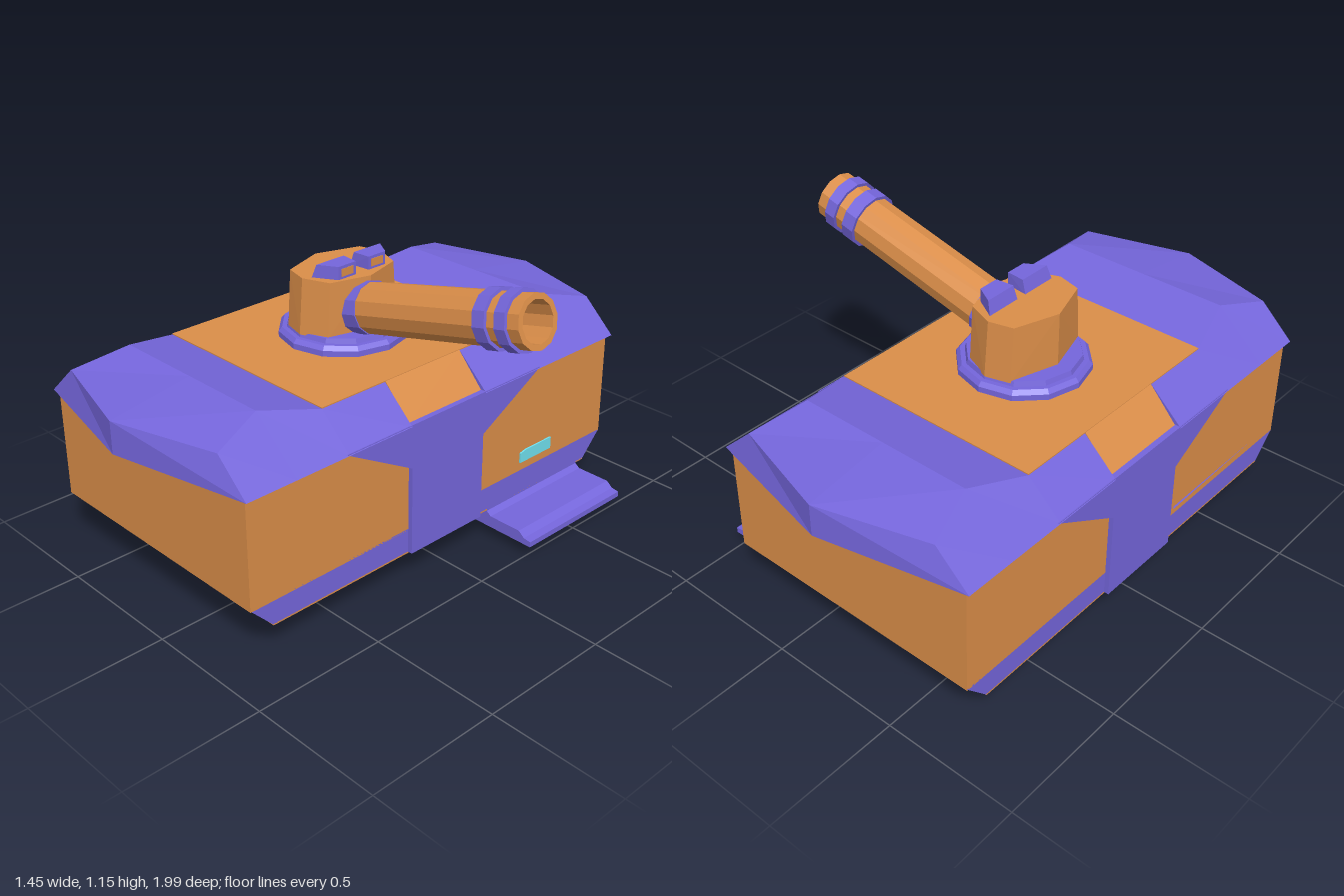
import * as THREE from 'three';
import { ConvexGeometry } from 'three/addons/geometries/ConvexGeometry.js';

const paint = (color) => new THREE.MeshStandardMaterial({ color, flatShading: true });
const orange = paint(0xdb8e49), purple = paint(0x7566dc), cyan = paint(0x70e0ee);

function add(parent, name, geometry, material, x = 0, y = 0, z = 0) {
  const mesh = new THREE.Mesh(geometry, material);
  mesh.name = name;
  mesh.position.set(x, y, z);
  parent.add(mesh);
  return mesh;
}
const vectors = (pts) => pts.map(([x, y]) => new THREE.Vector2(x, y));

// Outline in (x, y), extruded from z0 to z1
function extrudeZ(pts, z0, z1, hole) {
  const shape = new THREE.Shape(vectors(pts));
  if (hole) shape.holes.push(new THREE.Path(vectors(hole)));
  return new THREE.ExtrudeGeometry(shape, { depth: z1 - z0, bevelEnabled: false }).translate(0, 0, z0);
}
// Outline in (z, y), extruded from x0 to x1
function extrudeX(pts, x0, x1, hole) {
  const flip = (list) => list && list.map(([z, y]) => [-z, y]);
  return extrudeZ(flip(pts), x0, x1, flip(hole)).rotateY(Math.PI / 2);
}
const lathe = (pts, sides) => new THREE.LatheGeometry(vectors(pts), sides);

// Roof shell lofted from sections: [z, half base, half top, top height, z of centre line]
function roofGeometry() {
  const end = [[0.18, 0.53, 0.4, 0.73], [0.46, 0.53, 0.4, 0.73], [0.68, 0.53, 0.34, 0.78],
    [0.88, 0.53, 0.4, 0.73, 0.995], [0.995, 0, 0, 0.73]];
  const mid = [0.18, 0.5, 0.39, 0.725];
  const half = [mid, ...end];
  const back = half.map(([z, b, w, h, c]) => [-z, b, w, h, c === undefined ? undefined : -c]).reverse();
  const rings = [...back, ...half].map(([z, b, w, h, c = z]) => [
    [b, 0.61, z], [w, h, z], [0, h, c], [-w, h, z], [-b, 0.61, z], [0, 0.61, c]]);
  const pos = [];
  for (let s = 0; s < rings.length - 1; s++) {
    const A = rings[s], B = rings[s + 1];
    for (let i = 0; i < 6; i++) {
      const j = (i + 1) % 6;
      pos.push(...A[i], ...A[j], ...B[j], ...A[i], ...B[j], ...B[i]);
    }
  }
  const g = new THREE.BufferGeometry();
  g.setAttribute('position', new THREE.Float32BufferAttribute(pos, 3));
  g.computeVertexNormals();
  return g;
}

function buildHull(hull) {
  add(hull, 'hullCore', new THREE.BoxGeometry(0.98, 0.41, 1.74), orange, 0, 0.405, 0);
  add(hull, 'lowerTrim', extrudeX([[0.87, 0.205], [0.78, 0.11], [-0.78, 0.11], [-0.87, 0.205]], -0.51, 0.51), purple);
  add(hull, 'floor', new THREE.BoxGeometry(1.02, 0.006, 1.56), orange, 0, 0.11, 0);
  add(hull, 'roof', roofGeometry(), purple);
  add(hull, 'roofPlate', new THREE.BoxGeometry(0.8, 0.02, 0.92), orange, 0, 0.724, 0);

  const frontPanel = [[0.87, 0.2], [0.87, 0.61], [0.46, 0.61], [0.175, 0.45], [0.175, 0.2]];
  const rearPanel = frontPanel.map(([z, y]) => [-z, y]);
  const recess = [[0.83, 0.24], [0.83, 0.56], [0.47, 0.56], [0.22, 0.42], [0.22, 0.225]];
  const pillar = [[0.175, 0.112], [0.175, 0.45], [0.47, 0.615], [-0.47, 0.615], [-0.175, 0.45], [-0.175, 0.112]];
  for (const s of [-1, 1]) {
    const span = (a, b) => (s > 0 ? [a, b] : [-b, -a]);
    const [p0, p1] = span(0.48, 0.51), [q0, q1] = span(0.48, 0.528);
    add(hull, 'frontSidePanel', extrudeX(frontPanel, p0, p1, recess), orange);
    add(hull, 'rearSidePanel', extrudeX(rearPanel, p0, p1), orange);
    add(hull, 'sidePillar', extrudeX(pillar, q0, q1), purple);
    // Sloped patch set into the notch of the roof edge
    const patch = [[0.38, 0.7], [0.4, 0.732], [0.51, 0.612], [0.48, 0.6]].map(([x, y]) => [s * x, y]);
    add(hull, 'roofPatch', extrudeZ(patch, -0.178, 0.178), orange);
  }
}

// Side light and folded-out ramp
function buildSideDoor(hull) {
  const light = [[-0.4, 0.24], [-0.4, 0.28], [-0.43, 0.286], [-0.57, 0.286], [-0.57, 0.24]];
  add(hull, 'sideLight', extrudeX(light, 0.5, 0.516), cyan);
  const profile = [[0.45, 0.045], [0.72, 0.045], [0.72, 0.066], [0.69, 0.07], [0.665, 0.09],
    [0.53, 0.09], [0.5, 0.112], [0.45, 0.112]];
  add(hull, 'ramp', extrudeZ(profile, -0.74, -0.23), purple);
  add(hull, 'rampHinge', new THREE.BoxGeometry(0.16, 0.01, 0.51), purple, 0.43, 0.108, -0.485);
}

function buildFeet(hull) {
  const profile = [[0, 0], [0.132, 0], [0.142, 0.014], [0.142, 0.045], [0.112, 0.065], [0.112, 0.115]];
  for (const x of [-0.232, 0.232])
    for (const z of [-0.46, 0.53]) add(hull, 'foot', lathe(profile, 6), purple, x, 0, z);
}

function buildTurret(turret) {
  add(turret, 'turretRing', lathe([[0.235, 0.72], [0.235, 0.755], [0.222, 0.77], [0.205, 0.77],
    [0.2, 0.788], [0, 0.788]], 12), purple);

  // Tapered eight-sided housing
  const plan = [[-0.145, 0], [-0.09, 0.165], [0, 0.188], [0.1, 0.15], [0.143, 0], [0.1, -0.15], [0, -0.188], [-0.09, -0.165]];
  const corners = plan.flatMap(([x, z]) => [new THREE.Vector3(x, 0.985, z), new THREE.Vector3(x, 0.78, z * 1.09)]);
  add(turret, 'turretHousing', new ConvexGeometry(corners), orange);

  // Pair of sights, each a wedge with an orange lens
  for (const s of [-1, 1]) {
    const block = [[0.015, 0.16, 0.98], [0.015, 0.02, 0.98], [0.1, 0.11, 0.98], [0.1, 0.03, 0.98],
      [0.032, 0.15, 1.033], [0.032, 0.024, 1.033], [0.1, 0.11, 1.033], [0.1, 0.03, 1.033]];
    add(turret, 'sight', new ConvexGeometry(block.map(([x, z, y]) => new THREE.Vector3(x, y, s * z))), purple);
    add(turret, 'sightLens', new THREE.BoxGeometry(0.01, 0.028, 0.055), orange, 0.097, 1.008, s * 0.07);
  }

  // Raised barrel, modelled upright and tipped toward +x
  const gun = new THREE.Group();
  gun.name = 'gun';
  gun.position.set(0.05, 0.848, 0.015);
  gun.rotation.z = THREE.MathUtils.degToRad(13.7 - 90);
  turret.add(gun);
  add(gun, 'barrel', lathe([[0, 0], [0.092, 0], [0.092, 0.875], [0.072, 0.875], [0.072, 0.7], [0, 0.7]], 12), orange);
  const band = (name, r, y0, y1) => add(gun, name, lathe([[0.08, y0], [r, y0], [r, y1], [0.08, y1]], 12), purple);
  band('barrelCollar', 0.096, 0.02, 0.13);
  band('innerBarrelBand', 0.104, 0.69, 0.742);
  band('outerBarrelBand', 0.104, 0.783, 0.828);
}

export function createModel() {
  const model = new THREE.Group();
  model.name = 'armouredCarrier';
  for (const [name, build] of [['hull', buildHull], ['sideDoor', buildSideDoor], ['feet', buildFeet], ['turret', buildTurret]]) {
    const part = new THREE.Group();
    part.name = name;
    part.position.x = -0.2;
    build(part);
    model.add(part);
  }
  return model;
}
